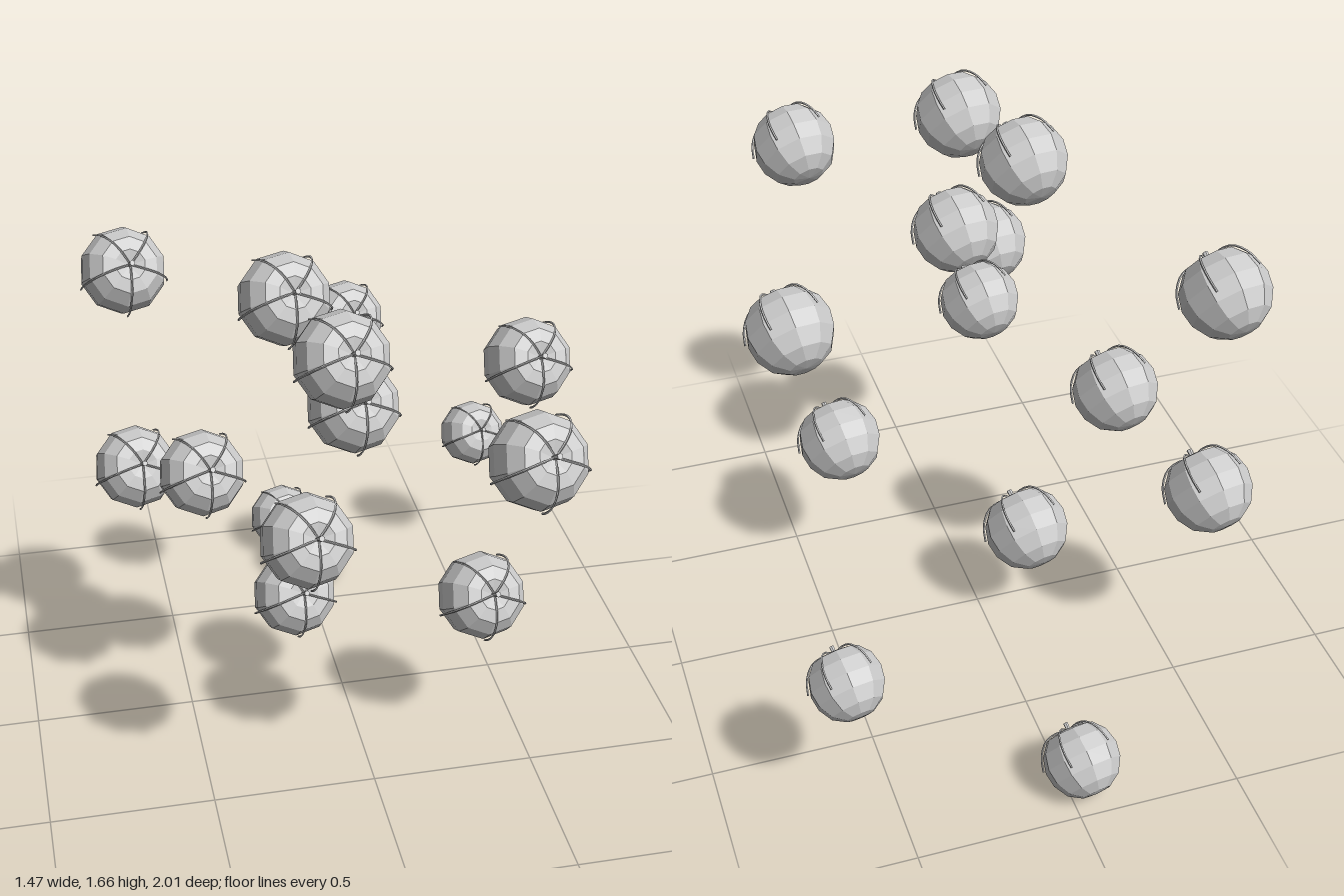
import * as THREE from 'three';

// Body profile of one fruit at unit radius: [radius, height], base to dimple
const PROFILE = [
  [0, -0.9], [0.38, -0.86], [0.72, -0.65], [0.94, -0.28], [1, 0.1],
  [0.9, 0.5], [0.65, 0.8], [0.35, 0.87], [0.12, 0.78], [0, 0.74],
];
const SIDES = 10;

// Fruit positions and radii: x, y, z, r
const FRUITS = [
  [-0.605, 1.37, -0.43, 0.135], [-0.21, 1.53, 0.195, 0.135],
  [-0.12, 1.515, 0.56, 0.135], [0.033, 1.288, -0.13, 0.115],
  [-0.04, 1.242, 0.335, 0.135], [0.343, 1.325, 0.868, 0.135],
  [0.56, 1.175, 0.047, 0.135], [-0.23, 0.993, 0.62, 0.135],
  [-0.43, 0.828, -0.076, 0.135], [-0.603, 0.662, -0.437, 0.135],
  [0.367, 0.527, 0.32, 0.135], [0.62, 0.487, -0.73, 0.112],
  [-0.145, 0.336, -0.076, 0.135], [-0.043, 0.12, -0.888, 0.116],
];

// Thin sepal running from the stem over the shoulder, tip lifting off
function sepalGeometry(angle, length) {
  const path = [[0.05, 0.86], [0.35, 0.91], [0.66, 0.83], [0.92, 0.52], [1.03, 0.15], [1.04, -0.12]];
  const points = path.slice(0, length).map(([r, y], i) => {
    const a = angle + 0.025 * i;
    return new THREE.Vector3(Math.sin(a) * r, y, Math.cos(a) * r);
  });
  return new THREE.TubeGeometry(new THREE.CatmullRomCurve3(points), 10, 0.024, 4);
}

export function createModel() {
  const group = new THREE.Group();
  group.name = 'fruitCluster';
  const material = new THREE.MeshStandardMaterial({ color: 0xcccccc, flatShading: true });

  // Shared geometries
  const body = new THREE.LatheGeometry(PROFILE.map(([r, y]) => new THREE.Vector2(r, y)), SIDES);
  const stem = new THREE.CylinderGeometry(0.065, 0.045, 0.32, 6);
  const sepals = [6, 5, 6, 5, 6].map((n, i) => sepalGeometry((i / 5) * Math.PI * 2, n));

  // All fruits lean forward and slightly to the left
  const axis = new THREE.Vector3(0.16, 0.54, 0.82).normalize();
  const tilt = new THREE.Quaternion().setFromUnitVectors(new THREE.Vector3(0, 1, 0), axis);

  FRUITS.forEach(([x, y, z, r]) => {
    const fruit = new THREE.Group();
    fruit.name = 'fruit';
    const add = (geometry, name) => {
      const mesh = new THREE.Mesh(geometry, material);
      mesh.name = name;
      fruit.add(mesh);
      return mesh;
    };
    add(body, 'body');
    add(stem, 'stem').position.y = 0.9;
    sepals.forEach((g) => add(g, 'sepal'));
    fruit.position.set(x, y, z);
    fruit.scale.setScalar(r);
    fruit.quaternion.copy(tilt);
    group.add(fruit);
  });
  return group;
}
